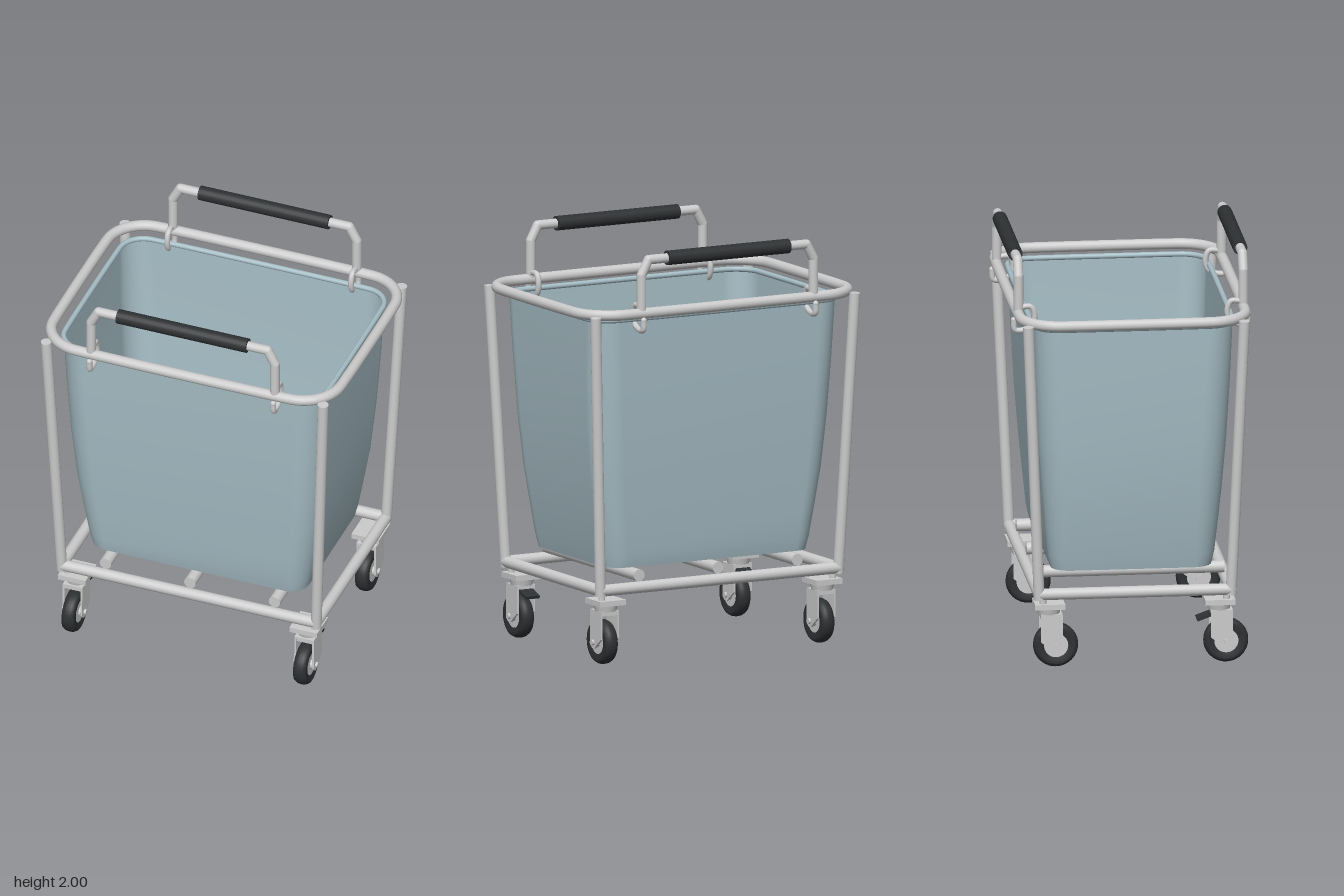
import * as THREE from 'three';

const steel = new THREE.MeshStandardMaterial({ color: 0xcccccc });
const rubber = new THREE.MeshStandardMaterial({ color: 0x2e3133 });
const fabric = new THREE.MeshStandardMaterial({ color: 0xa6bdc5, side: THREE.DoubleSide });
const V = (x, y, z) => new THREE.Vector3(x, y, z);

function add(parent, name, geometry, material = steel) {
  const mesh = new THREE.Mesh(geometry, material);
  mesh.name = name;
  parent.add(mesh);
  return mesh;
}

// Straight round bar between two points
function rod(parent, name, a, b, r, material = steel) {
  const mesh = add(parent, name, new THREE.CylinderGeometry(r, r, a.distanceTo(b), 20), material);
  mesh.position.copy(a).lerp(b, 0.5);
  mesh.quaternion.setFromUnitVectors(V(0, 1, 0), b.clone().sub(a).normalize());
  return mesh;
}

function ball(parent, name, p, r) {
  add(parent, name, new THREE.SphereGeometry(r, 20, 12)).position.copy(p);
}

// Points of a horizontal rounded rectangle
function ring(y, hx, hz, r, steps = 8) {
  const points = [];
  const corners = [[1, 1], [-1, 1], [-1, -1], [1, -1]];
  corners.forEach(([sx, sz], c) => {
    for (let i = 0; i <= steps; i++) {
      const t = (c + i / steps) * Math.PI / 2;
      points.push(V(sx * (hx - r) + r * Math.cos(t), y, sz * (hz - r) + r * Math.sin(t)));
    }
  });
  return points;
}

// Skin over a stack of rounded rectangles [y, halfX, halfZ, radius]
function loft(levels) {
  const rings = levels.map(l => ring(...l));
  const n = rings[0].length, index = [];
  for (let i = 0; i < rings.length - 1; i++) {
    for (let j = 0; j < n; j++) {
      const k = (j + 1) % n;
      const a = i * n + j, b = i * n + k, c = a + n, d = b + n;
      index.push(a, c, b, b, c, d);
    }
  }
  const geometry = new THREE.BufferGeometry().setFromPoints(rings.flat());
  geometry.setIndex(index);
  geometry.computeVertexNormals();
  return geometry;
}

function ringTube(points, r) {
  const curve = new THREE.CatmullRomCurve3(points, true, 'centripetal');
  return new THREE.TubeGeometry(curve, 200, r, 14, true);
}

// Tapering bag with softly rounded corners, a flat floor and a rolled rim
function makeBag() {
  const bag = new THREE.Group();
  bag.name = 'bag';
  const levels = [
    [0.455, 0.55, 0.385, 0.09], [0.52, 0.565, 0.4, 0.1], [0.65, 0.588, 0.413, 0.11], [0.85, 0.62, 0.432, 0.12],
    [1.1, 0.645, 0.452, 0.13], [1.4, 0.663, 0.468, 0.13], [1.675, 0.672, 0.478, 0.12],
  ];
  add(bag, 'bagWalls', loft(levels), fabric);
  add(bag, 'bagFloor', loft([[0.455, 0, 0, 0], levels[0]]), fabric);
  add(bag, 'bagRim', ringTube(ring(1.675, 0.672, 0.478, 0.12), 0.013), fabric);
  return bag;
}

function makeFrame() {
  const frame = new THREE.Group();
  frame.name = 'frame';
  add(frame, 'topRail', ringTube(ring(1.71, 0.734, 0.539, 0.19), 0.026));
  for (const s of [-1, 1]) {
    rod(frame, 'longBaseRail', V(-0.65, 0.37, s * 0.46), V(0.65, 0.37, s * 0.46), 0.028);
    rod(frame, 'shortBaseRail', V(s * 0.65, 0.37, -0.46), V(s * 0.65, 0.37, 0.46), 0.028);
    for (const t of [-1, 1]) {
      rod(frame, 'leg', V(s * 0.65, 0.345, t * 0.46), V(s * 0.708, 1.705, t * 0.518), 0.026);
    }
  }
  for (const x of [-0.432, 0, 0.432]) {
    rod(frame, 'crossBar', V(x, 0.425, -0.45), V(x, 0.425, 0.45), 0.029);
  }
  return frame;
}

// Push handle with a dark grip, and hooks that tie the bag to the rail
function makeHandle(side) {
  const handle = new THREE.Group();
  handle.name = side > 0 ? 'frontHandle' : 'backHandle';
  const z = side * 0.539, r = 0.023;
  for (const s of [-1, 1]) {
    const path = [V(s * 0.47, 1.71, z), V(s * 0.47, 1.895, z), V(s * 0.432, 1.967, z), V(s * 0.32, 1.967, z)];
    for (let i = 0; i < 3; i++) rod(handle, 'handleTube', path[i], path[i + 1], r);
    ball(handle, 'handleBend', path[1], r);
    ball(handle, 'handleBend', path[2], r);
    const hook = [[0.53, 1.742], [0.48, 1.742], [0.462, 1.7], [0.475, 1.65], [0.52, 1.628], [0.556, 1.632], [0.562, 1.68]];
    const curve = new THREE.CatmullRomCurve3(hook.map(([hz, y]) => V(s * 0.47, y, side * hz)));
    add(handle, 'bagHook', new THREE.TubeGeometry(curve, 40, 0.014, 10));
    for (const end of [hook[0], hook[6]]) ball(handle, 'hookTip', V(s * 0.47, end[1], side * end[0]), 0.014);
  }
  rod(handle, 'grip', V(-0.332, 1.967, z), V(0.332, 1.967, z), 0.035, rubber);
  return handle;
}

// Swivel caster, built around its swivel axis with the wheel set off towards +z
function makeCaster(hasBrake) {
  const caster = new THREE.Group();
  caster.name = 'caster';
  const wz = 0.033, wy = 0.108;
  const box = (name, w, h, d, x, y, z, m) => {
    const mesh = add(caster, name, new THREE.BoxGeometry(w, h, d), m);
    mesh.position.set(x, y, z);
    return mesh;
  };
  box('mountPlate', 0.142, 0.026, 0.145, 0, 0.307, 0);
  add(caster, 'swivelRace', new THREE.CylinderGeometry(0.06, 0.052, 0.032, 28)).position.y = 0.279;
  box('forkCrown', 0.1, 0.022, 0.104, 0, 0.254, 0.01);

  // Fork cheeks, drawn in side outline and rounded at the axle
  const outline = new THREE.Shape();
  outline.moveTo(-0.042, 0.262);
  outline.lineTo(-0.042, 0.13);
  outline.lineTo(wz - 0.025, wy - 0.015);
  outline.absarc(wz, wy, 0.03, -Math.PI * 0.75, 0, false);
  outline.lineTo(0.062, 0.262);
  for (const s of [-1, 1]) {
    const cheek = add(caster, 'forkCheek', new THREE.ExtrudeGeometry(outline, { depth: 0.01, bevelEnabled: false }));
    cheek.rotation.y = -Math.PI / 2;
    cheek.position.x = s * 0.045 + 0.005;
  }
  rod(caster, 'axle', V(-0.061, wy, wz), V(0.061, wy, wz), 0.014);

  // Tyre and hub
  const profile = [[0.058, -0.028], [0.085, -0.034], [0.098, -0.03], [0.106, -0.016], [0.108, 0],
    [0.106, 0.016], [0.098, 0.03], [0.085, 0.034], [0.058, 0.028]];
  const tyre = add(caster, 'tyre', new THREE.LatheGeometry(profile.map(p => new THREE.Vector2(...p)), 40), rubber);
  tyre.rotation.z = Math.PI / 2;
  tyre.position.set(0, wy, wz);
  rod(caster, 'hub', V(-0.028, wy, wz), V(0.028, wy, wz), 0.06);
  rod(caster, 'hubBoss', V(-0.038, wy, wz), V(0.038, wy, wz), 0.026);

  if (hasBrake) {
    box('brakePedal', 0.075, 0.014, 0.085, 0, 0.229, -0.068, rubber).rotation.x = -0.35;
  }
  return caster;
}

export function createModel() {
  const cart = new THREE.Group();
  cart.name = 'laundryCart';
  cart.add(makeFrame(), makeBag(), makeHandle(1), makeHandle(-1));
  for (const x of [-1, 1]) {
    for (const z of [-1, 1]) {
      const caster = makeCaster(z > 0);
      caster.position.set(x * 0.592, 0, z * 0.408);
      cart.add(caster);
      // Short pin joining the mount plate to the base corner
      rod(cart, 'casterPin', V(x * 0.632, 0.3, z * 0.44), V(x * 0.632, 0.37, z * 0.44), 0.016);
    }
  }
  return cart;
}
